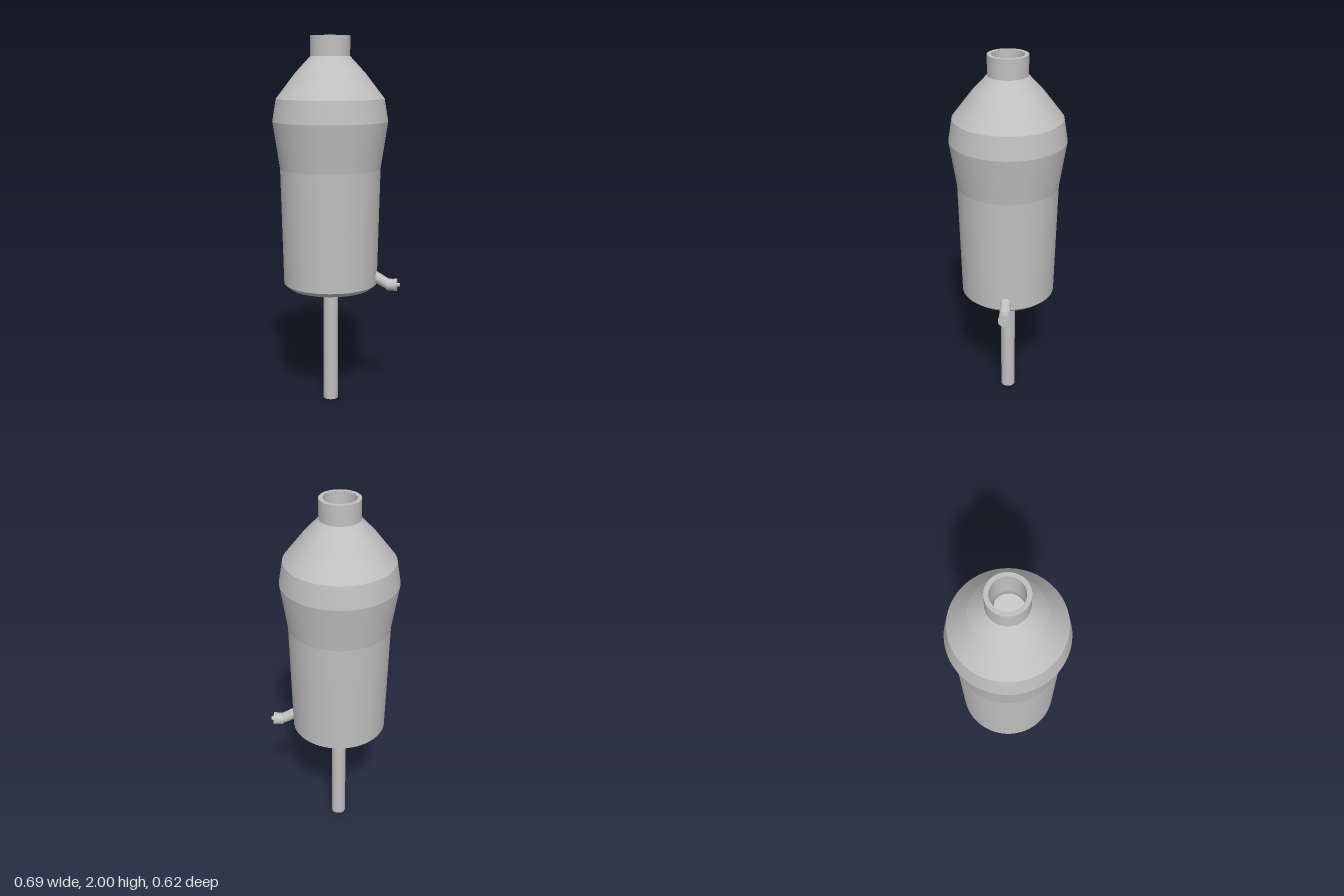
import * as THREE from 'three';

export function createModel() {
  const model = new THREE.Group();
  const grey = new THREE.MeshStandardMaterial({ color: 0xc0c0c0 });
  grey.name = 'plain grey';
  const greyInside = new THREE.MeshStandardMaterial({ color: 0xc0c0c0, side: THREE.DoubleSide });
  greyInside.name = 'plain grey inside';

  const add = (parent, name, geometry, x = 0, y = 0, material = grey) => {
    const mesh = new THREE.Mesh(geometry, material);
    mesh.name = name;
    mesh.position.set(x, y, 0);
    parent.add(mesh);
    return mesh;
  };

  // Everything but the spout shares one upright axis
  const column = new THREE.Group();
  column.name = 'column';
  column.position.x = -0.038;
  model.add(column);

  // Body: stacked cone bands, smooth around and crisp between bands
  const profile = [[0.225, 0.65], [0.255, 0.675], [0.27, 1.305], [0.308, 1.555],
    [0.288, 1.675], [0.184, 1.81], [0.105, 1.895], [0.105, 2]];
  const bands = ['baseBevel', 'lowerBody', 'flare', 'upperBody', 'shoulder', 'upperShoulder', 'neck'];
  bands.forEach((name, i) => {
    const [r0, y0] = profile[i], [r1, y1] = profile[i + 1];
    add(column, name, new THREE.CylinderGeometry(r1, r0, y1 - y0, 72, 1, true), 0, (y0 + y1) / 2);
  });
  add(column, 'bodyBottom', new THREE.CircleGeometry(0.225, 72), 0, 0.65).rotation.x = Math.PI / 2;
  add(column, 'neckRim', new THREE.RingGeometry(0.083, 0.105, 72), 0, 2).rotation.x = -Math.PI / 2;

  // Hollow channel that drops from the neck and bends sideways to a closed end
  const channel = new THREE.CatmullRomCurve3([
    [0, 2], [0, 1.92], [0, 1.84], [0.025, 1.76], [0.075, 1.7],
  ].map(([x, y]) => new THREE.Vector3(x, y, 0)));
  add(column, 'neckChannel', new THREE.TubeGeometry(channel, 20, 0.083, 48), 0, 0, greyInside);
  const end = add(column, 'channelEnd', new THREE.CircleGeometry(0.083, 48), 0.075, 1.7, greyInside);
  end.quaternion.setFromUnitVectors(new THREE.Vector3(0, 0, 1), channel.getTangent(1).negate());

  // Supporting stem and its collar
  add(column, 'stem', new THREE.CylinderGeometry(0.04, 0.04, 0.66, 40), 0, 0.33);
  add(column, 'stemCollar', new THREE.CylinderGeometry(0.063, 0.063, 0.016, 48), 0, 0.645);

  // Side spout: slanted pipe, level fitting and small nozzle
  const spout = new THREE.Group();
  spout.name = 'spout';
  model.add(spout);
  const path = new THREE.CatmullRomCurve3([
    [0.17, 0.739], [0.22, 0.712], [0.265, 0.686], [0.285, 0.677], [0.3, 0.675],
  ].map(([x, y]) => new THREE.Vector3(x, y, 0)));
  add(spout, 'spoutPipe', new THREE.TubeGeometry(path, 20, 0.029, 28));
  const level = (name, radius, x0, x1) => {
    add(spout, name, new THREE.CylinderGeometry(radius, radius, x1 - x0, 32), (x0 + x1) / 2, 0.675)
      .rotation.z = -Math.PI / 2;
  };
  level('spoutFitting', 0.032, 0.277, 0.313);
  level('spoutEndRing', 0.034, 0.313, 0.33);
  level('spoutNozzle', 0.011, 0.33, 0.345);

  return model;
}
